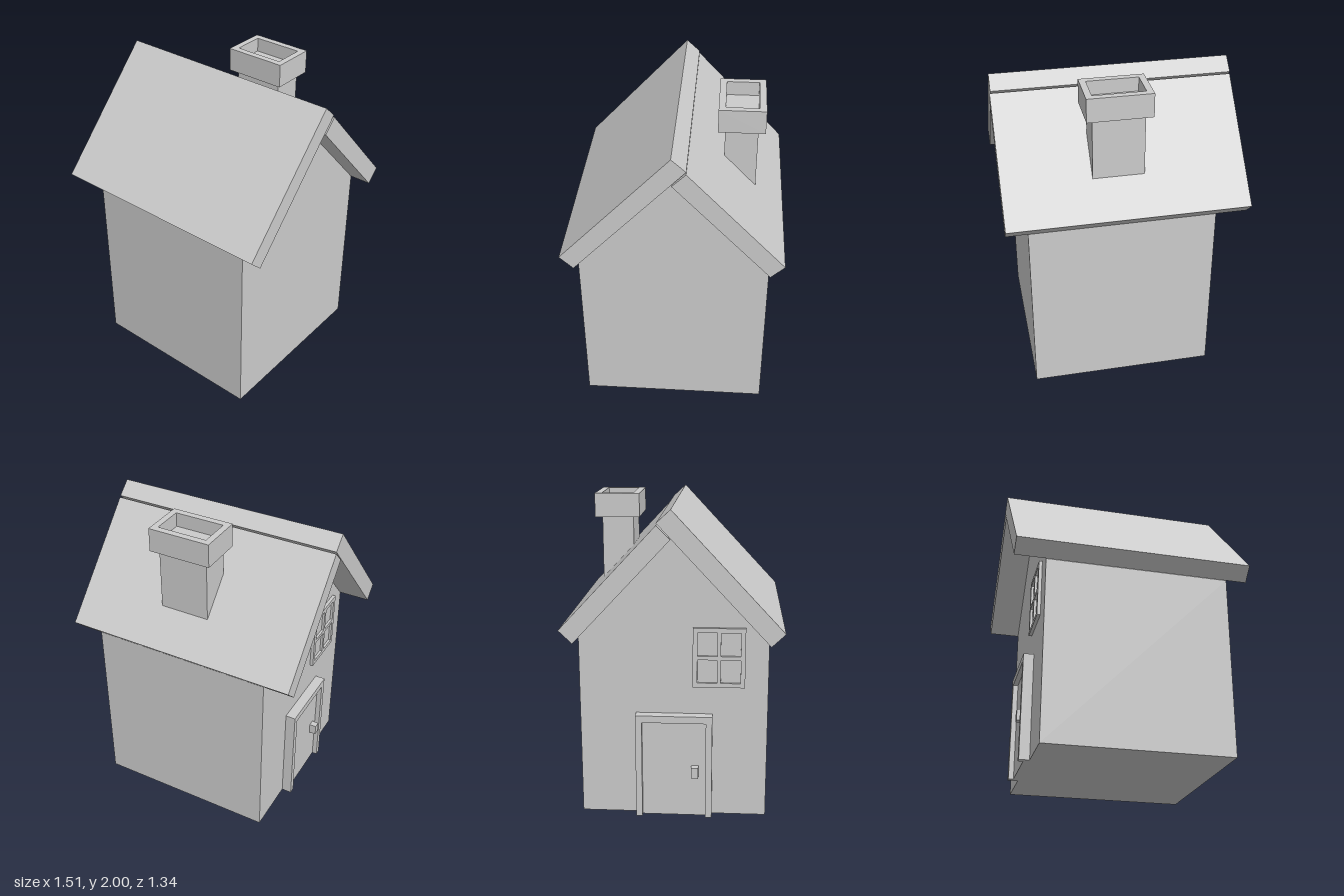
import * as THREE from 'three';

const stone = new THREE.MeshStandardMaterial({ color: 0xcccccc });
stone.name = 'light grey';

// Closed outline from a list of [a, b] points
const outline = (pts, Type = THREE.Shape) => new Type(pts.map(([a, b]) => new THREE.Vector2(a, b)));
const rect = (a0, a1, b0, b1) => [[a0, b0], [a1, b0], [a1, b1], [a0, b1]];

// Outline in (z, y), extruded along x from xMin to xMax
function prismX(name, pts, xMin, xMax, holes = []) {
  const shape = outline(pts);
  shape.holes = holes.map((h) => outline(h, THREE.Path));
  const geo = new THREE.ExtrudeGeometry(shape, { depth: xMax - xMin, bevelEnabled: false });
  geo.rotateY(-Math.PI / 2).translate(xMax, 0, 0);
  const mesh = new THREE.Mesh(geo, stone);
  mesh.name = name;
  return mesh;
}

// Box from its limits
function box(name, x0, x1, y0, y1, z0, z1) {
  const geo = new THREE.BoxGeometry(x1 - x0, y1 - y0, z1 - z0);
  geo.translate((x0 + x1) / 2, (y0 + y1) / 2, (z0 + z1) / 2);
  const mesh = new THREE.Mesh(geo, stone);
  mesh.name = name;
  return mesh;
}

function group(name, ...parts) {
  const g = new THREE.Group();
  g.name = name;
  g.add(...parts);
  return g;
}

export function createModel() {
  const wallX = -0.557;

  // Gabled body
  const walls = prismX('walls',
    [[-0.587, 0], [0.587, 0], [0.587, 1.175], [0, 1.8], [-0.587, 1.175]], wallX, 0.615);

  // Roof slabs: the front one overlaps the ridge, the back one butts under it
  const roof = group('roof',
    prismX('frontRoofSlab', [[0.59, 1.175], [0.673, 1.255], [0, 1.973], [-0.085, 1.895]], -0.755, 0.748),
    prismX('backRoofSlab', [[-0.588, 1.175], [-0.003, 1.8], [-0.085, 1.882], [-0.671, 1.255]], -0.755, 0.753));

  // Chimney with a hollow cap
  const capShape = outline(rect(-0.16, 0.24, 0.243, 0.527));
  capShape.holes = [outline(rect(-0.12, 0.2, 0.285, 0.485), THREE.Path)];
  const capGeo = new THREE.ExtrudeGeometry(capShape, { depth: 0.15, bevelEnabled: false });
  capGeo.rotateX(-Math.PI / 2).translate(0, 1.85, 0);
  const cap = new THREE.Mesh(capGeo, stone);
  cap.name = 'chimneyCap';
  const chimney = group('chimney',
    box('chimneyStack', -0.12, 0.2, 1.36, 1.91, -0.485, -0.285), cap);

  // Door with raised frame, recessed panel and knob
  const door = group('door',
    prismX('doorFrame',
      [[-0.235, 0], [-0.195, 0], [-0.195, 0.635], [0.205, 0.635], [0.205, 0], [0.245, 0], [0.245, 0.68], [-0.235, 0.68]],
      -0.622, wallX),
    box('doorPanel', -0.59, wallX, 0, 0.635, -0.195, 0.205),
    box('doorKnob', -0.635, -0.59, 0.272, 0.343, 0.115, 0.16));

  // Window with four panes
  const panes = [];
  for (const z of [0.148, 0.293]) {
    for (const y of [0.888, 1.06]) panes.push(rect(z, z + 0.122, y, y + 0.148));
  }
  const window4 = group('window',
    prismX('windowFrame', rect(0.12, 0.443, 0.86, 1.237), -0.578, wallX, panes),
    box('windowGlass', -0.562, wallX, 0.88, 1.22, 0.14, 0.425));

  return group('house', walls, roof, chimney, door, window4);
}
